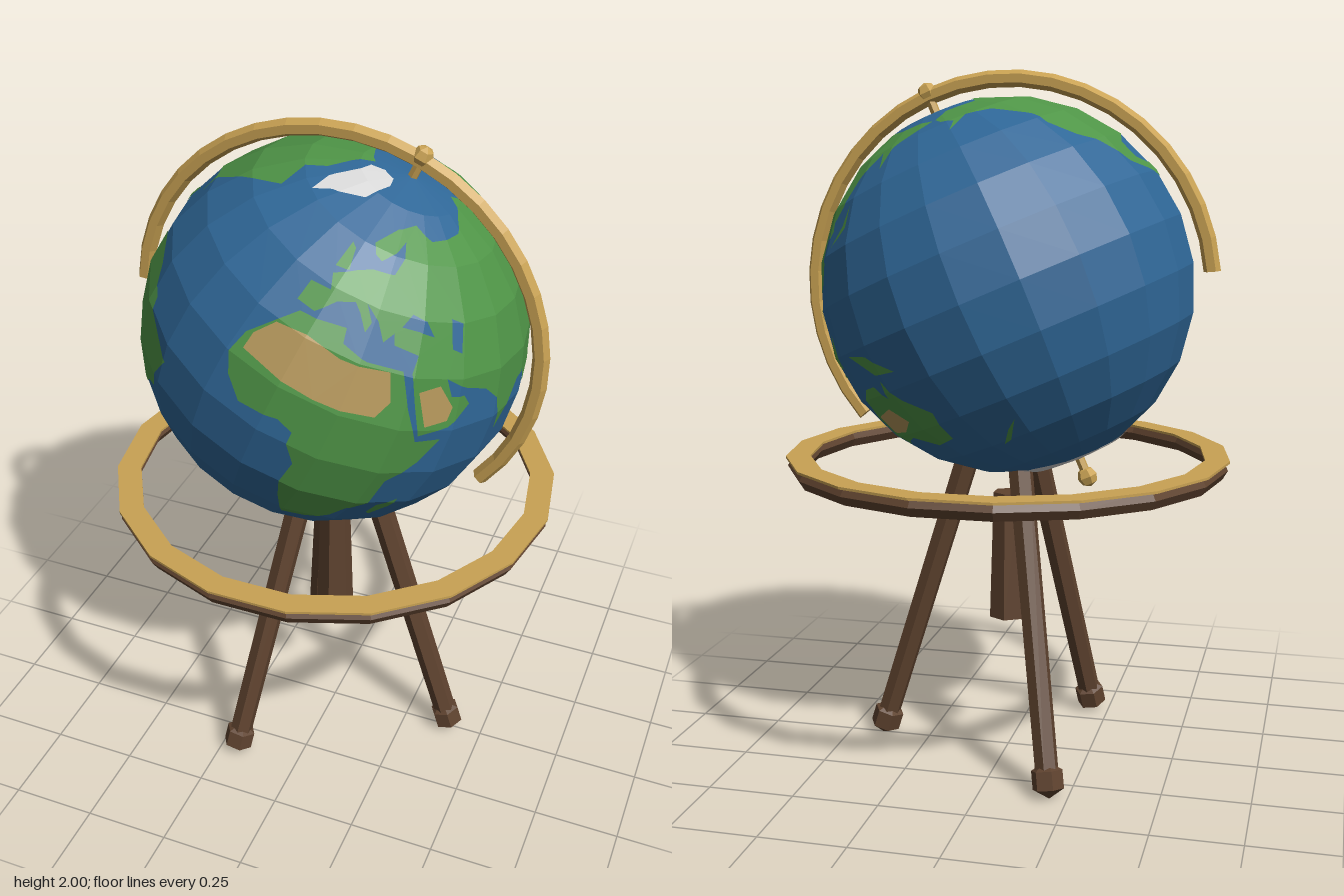
import * as THREE from 'three';

const mat = (name, color) => new THREE.MeshStandardMaterial({ name, color });

const RADIUS = 0.535, COLS = 20, ROWS = 12;
const DLON = 360 / COLS, DLAT = 180 / ROWS;

// Coastlines as lon, lat pairs in degrees
const AFRICA = [-6, 35, 10, 37, 11, 33, 20, 31, 32, 31, 37, 21, 43, 11, 51, 12, 47, 4, 40, -4, 40, -15, 35, -20,
  33, -27, 27, -34, 19, -35, 14, -23, 12, -15, 13, -6, 9, 0, 9, 4, 4, 6, -8, 4, -14, 9, -17, 15, -16, 22, -10, 30];
const EURASIA = [-9, 37, -2, 37, 3, 42, 9, 44, 12, 42, 16, 38, 17, 41, 13, 45, 19, 42, 23, 37, 26, 40, 27, 37, 36, 36,
  35, 31, 39, 22, 43, 13, 52, 16, 59, 22, 56, 25, 51, 25, 48, 30, 57, 27, 66, 25, 72, 21, 77, 8, 80, 14, 87, 21,
  92, 22, 95, 16, 98, 10, 103, 2, 101, 12, 105, 9, 109, 13, 107, 20, 114, 22, 121, 28, 119, 35, 122, 39, 126, 35,
  129, 37, 128, 40, 135, 44, 140, 53, 155, 59, 157, 52, 163, 59, 178, 63, 190, 66, 180, 69, 160, 70, 140, 73,
  113, 74, 104, 78, 80, 73, 68, 69, 41, 67, 28, 71, 15, 68, 5, 61, 8, 58, 12, 57, 18, 61, 22, 65, 23, 60, 20, 55,
  10, 54, 4, 52, -4, 48, -1, 44, -9, 43];
const NORTH_AMERICA = [-168, 66, -156, 71, -125, 71, -110, 76, -80, 79, -72, 73, -64, 66, -66, 60, -56, 53, -66, 45,
  -70, 42, -76, 36, -81, 31, -80, 25, -83, 30, -90, 30, -97, 27, -97, 21, -91, 18, -87, 21, -88, 16, -83, 14, -82, 9,
  -78, 8, -84, 9, -95, 16, -105, 20, -112, 29, -118, 34, -124, 42, -124, 48, -135, 58, -150, 60, -163, 55, -158, 59,
  -165, 62];
const SOUTH_AMERICA = [-78, 8, -72, 12, -60, 9, -51, 4, -50, 0, -35, -6, -39, -14, -41, -22, -48, -26, -57, -36,
  -65, -42, -68, -52, -74, -52, -73, -38, -70, -20, -76, -14, -81, -5, -78, 2];
const AUSTRALIA = [114, -22, 122, -18, 130, -12, 136, -12, 140, -17, 142, -11, 146, -19, 153, -26, 150, -37, 140, -38,
  131, -32, 116, -35];
const ISLANDS = [
  [131, -1, 141, -3, 150, -10, 141, -9],
  [109, 2, 117, 7, 118, 1, 115, -4, 110, -3],
  [95, 5, 106, -5, 114, -7, 104, -6],
  [44, -17, 49, -13, 49, -18, 46, -25, 44, -23],
  [130, 32, 136, 34, 141, 36, 142, 43, 138, 37],
  [-5, 50, 1, 51, -2, 57, -5, 58],
  [167, -46, 171, -45, 178, -38, 173, -41],
];
const DESERTS = [
  [-14, 18, -14, 23, -10, 29, 0, 31, 12, 29, 28, 30, 31, 22, 28, 17, 10, 16],
  [39, 26, 46, 28, 52, 22, 51, 18, 44, 16],
  [122, -22, 135, -20, 140, -26, 132, -29, 122, -28],
];
const SEAS = [
  [28, 42, 35, 42, 41, 41, 37, 45, 31, 46],
  [49, 38, 53, 37, 53, 45, 48, 46],
];
const GREENLAND = [-45, 60, -53, 66, -57, 75, -68, 78, -60, 82, -32, 83, -18, 80, -21, 71, -40, 65];
const ANTARCTICA = [-180, -90, 180, -90, 180, -73, 150, -69, 110, -68, 60, -69, 20, -71, -20, -73, -55, -68, -90, -71,
  -130, -74, -180, -73];

// Flat facets with hard edges
function flat(geo) {
  const g = geo.index ? geo.toNonIndexed() : geo;
  g.computeVertexNormals();
  return g;
}

function part(parent, name, geo, material) {
  const mesh = new THREE.Mesh(flat(geo), material);
  mesh.name = name;
  parent.add(mesh);
  return mesh;
}

// Point on a sphere, lon 0 facing the front
function onSphere(lon, lat, r) {
  const a = THREE.MathUtils.degToRad(lon), b = THREE.MathUtils.degToRad(lat);
  return new THREE.Vector3(Math.cos(b) * Math.sin(a), Math.sin(b), Math.cos(b) * Math.cos(a)).multiplyScalar(r);
}

// Keep the side of a polygon where sign * (p[axis] - limit) >= 0
function clip(poly, axis, limit, sign) {
  const out = [];
  poly.forEach((p, i) => {
    const q = poly[(i + 1) % poly.length];
    const dp = sign * (p.getComponent(axis) - limit), dq = sign * (q.getComponent(axis) - limit);
    if (dp >= 0) out.push(p);
    if ((dp > 0 && dq < 0) || (dp < 0 && dq > 0)) out.push(p.clone().lerp(q, dp / (dp - dq)));
  });
  return out;
}

// Lay map outlines on the flat facets of the globe
function mapPlates(outlines, r) {
  const pos = [];
  for (const line of outlines) {
    const poly = [];
    for (let i = 0; i < line.length; i += 2) poly.push(new THREE.Vector2(line[i], line[i + 1]));
    for (let c = -COLS / 2; c < COLS / 2 + 2; c++) {
      const lon = c * DLON;
      const strip = clip(clip(poly, 0, lon, 1), 0, lon + DLON, -1);
      if (strip.length < 3) continue;
      for (let k = 0; k < ROWS; k++) {
        const lat = -90 + k * DLAT;
        const cell = clip(clip(strip, 1, lat, 1), 1, lat + DLAT, -1);
        if (cell.length < 3) continue;
        const at = (p) => {
          const u = (p.x - lon) / DLON, v = (p.y - lat) / DLAT;
          const low = onSphere(lon, lat, r).lerp(onSphere(lon + DLON, lat, r), u);
          const high = onSphere(lon, lat + DLAT, r).lerp(onSphere(lon + DLON, lat + DLAT, r), u);
          return low.lerp(high, v);
        };
        for (const tri of THREE.ShapeUtils.triangulateShape(cell, [])) {
          const [a, b, d] = tri.map((n) => cell[n]);
          const area = (b.x - a.x) * (d.y - a.y) - (b.y - a.y) * (d.x - a.x);
          if (Math.abs(area) < 1e-6) continue;
          for (const p of area > 0 ? [a, b, d] : [a, d, b]) pos.push(...at(p).toArray());
        }
      }
    }
  }
  const geo = new THREE.BufferGeometry();
  geo.setAttribute('position', new THREE.Float32BufferAttribute(pos, 3));
  return geo;
}

export function createModel() {
  const model = new THREE.Group();
  model.name = 'globeOnTripod';
  const ocean = mat('ocean blue', 0x2f6797), land = mat('land green', 0x4f9547), sand = mat('desert sand', 0xb6985c);
  const ice = mat('ice white', 0xd8d8d8), brass = mat('brass', 0xc9a253), wood = mat('dark wood', 0x5f432f);

  // Tilted globe with its map
  const globe = new THREE.Group();
  globe.name = 'globe';
  globe.position.y = 1.392;
  globe.rotation.z = -THREE.MathUtils.degToRad(23.4);
  model.add(globe);
  part(globe, 'oceanSphere', new THREE.SphereGeometry(RADIUS, COLS, ROWS), ocean);
  part(globe, 'continents', mapPlates([AFRICA, EURASIA, NORTH_AMERICA, SOUTH_AMERICA, AUSTRALIA, ...ISLANDS],
    RADIUS + 0.002), land);
  part(globe, 'deserts', mapPlates(DESERTS, RADIUS + 0.004), sand);
  part(globe, 'inlandSeas', mapPlates(SEAS, RADIUS + 0.004), ocean);
  part(globe, 'iceCaps', mapPlates([GREENLAND, ANTARCTICA], RADIUS + 0.003), ice);

  // Brass meridian arc, closed at both ends
  const arc = Math.PI * 1.2, start = (Math.PI - arc) / 2;
  const meridian = new THREE.Group();
  meridian.name = 'meridian';
  meridian.rotation.z = start;
  globe.add(meridian);
  part(meridian, 'meridianArc', new THREE.TorusGeometry(0.584, 0.024, 6, 24, arc), brass);
  for (const [angle, turn] of [[0, Math.PI / 2], [arc, -Math.PI / 2]]) {
    const cap = part(meridian, 'meridianEnd', new THREE.CircleGeometry(0.024, 6), brass);
    cap.position.set(0.584 * Math.cos(angle), 0.584 * Math.sin(angle), 0);
    cap.rotation.set(turn, 0, angle, 'ZXY');
  }

  // Axis pin and end knobs
  part(globe, 'axisPin', new THREE.CylinderGeometry(0.014, 0.014, 1.17, 6), brass);
  for (const s of [1, -1]) {
    part(globe, 'axisKnob', new THREE.SphereGeometry(0.03, 6, 4), brass).position.y = s * 0.594;
  }

  // Horizon ring: wooden hoop with a thin brass plate on top
  const hoop = part(model, 'horizonHoop', new THREE.TorusGeometry(0.61, 0.03, 6, 18), wood);
  hoop.rotation.x = Math.PI / 2;
  hoop.position.y = 0.884;
  const section = [[0.575, 0.905], [0.645, 0.905], [0.645, 0.912], [0.575, 0.912], [0.575, 0.905]];
  const plate = part(model, 'horizonPlate',
    new THREE.LatheGeometry(section.map(([x, y]) => new THREE.Vector2(x, y)), 18), brass);
  plate.rotation.y = Math.PI / 2;

  // Three splayed legs with faceted feet
  const foot = new THREE.Vector2(0.385, 0.052), top = new THREE.Vector2(0.12, 0.895);
  for (let i = 0; i < 3; i++) {
    const leg = new THREE.Group();
    leg.name = 'leg';
    leg.rotation.y = (i * Math.PI * 2) / 3;
    model.add(leg);
    const tilt = new THREE.Group();
    tilt.name = 'tiltedLeg';
    tilt.position.set(foot.x, foot.y, 0);
    tilt.rotation.z = Math.atan2(foot.x - top.x, top.y - foot.y);
    leg.add(tilt);
    const length = foot.distanceTo(top);
    part(tilt, 'legShaft', new THREE.CylinderGeometry(0.036, 0.034, length, 6), wood).position.y = length / 2;
    part(tilt, 'foot', new THREE.SphereGeometry(0.052, 6, 3), wood);
  }

  // Hanging centre post
  part(model, 'centrePost', new THREE.CylinderGeometry(0.045, 0.057, 0.38, 6), wood).position.y = 0.6;

  return model;
}
